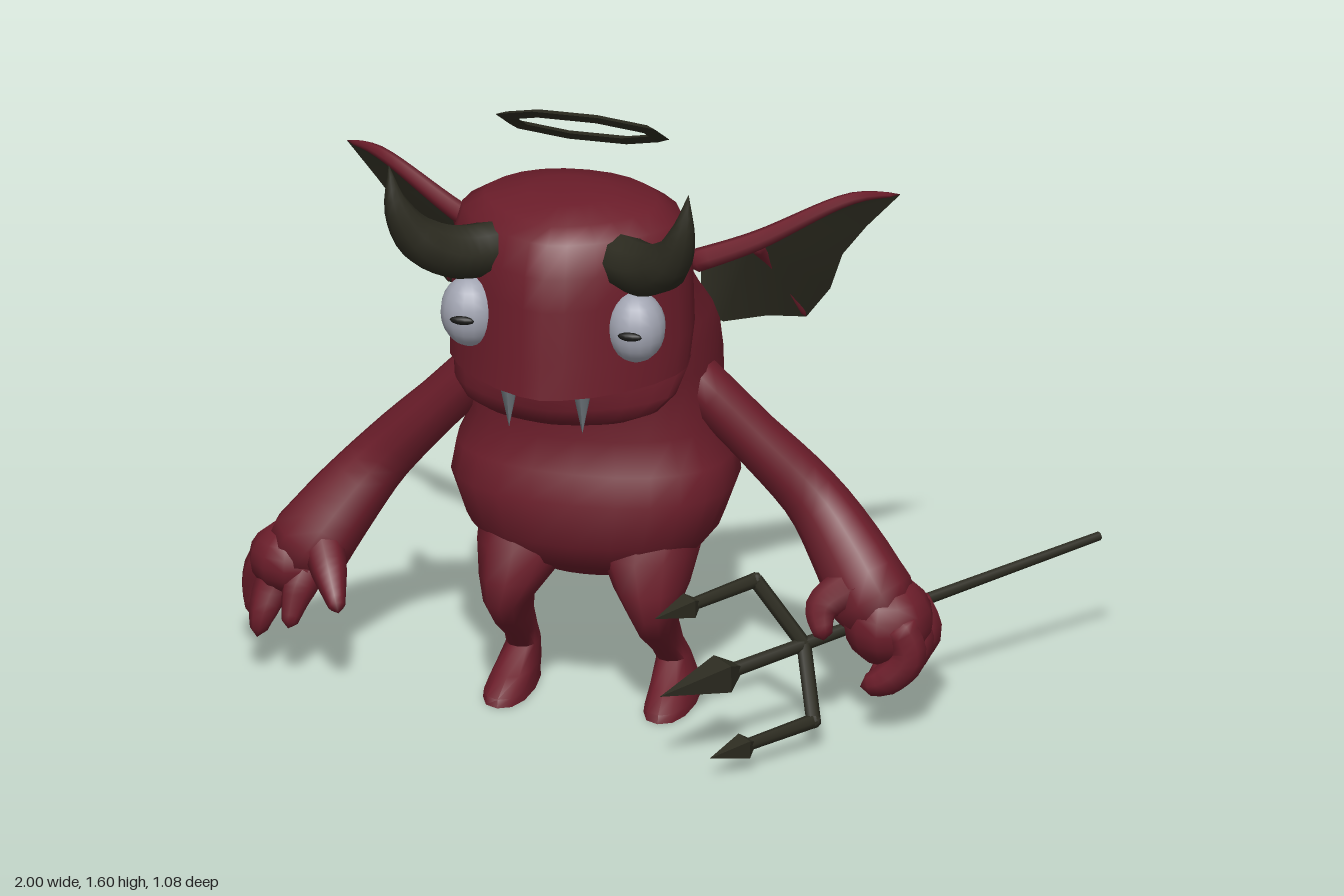
import * as THREE from 'three';
import { mergeVertices, toCreasedNormals } from 'three/addons/utils/BufferGeometryUtils.js';

const material = (name, color, side = THREE.FrontSide) => {
  const m = new THREE.MeshStandardMaterial({ color, side });
  m.name = name;
  return m;
};

const V = (p) => new THREE.Vector3(p[0], p[1], p[2]);

// Stack of rounded horizontal rings: [y, front z, back z, half width, centre x].
// The powers set how pointed (low) or boxy (high) the front and back halves are.
function loft(rings, sides, frontPower, backPower, crease = 0.9) {
  const pos = [], index = [], n = rings.length;
  for (const [y, zf, zb, hx, cx = 0] of rings) {
    for (let j = 0; j < sides; j++) {
      const a = (j / sides) * Math.PI * 2;
      const power = Math.sin(a) > 0 ? frontPower : backPower;
      const soft = (v) => Math.sign(v) * Math.abs(v) ** (2 / power);
      pos.push(cx + hx * soft(Math.cos(a)), y, (zf + zb) / 2 + ((zf - zb) / 2) * soft(Math.sin(a)));
    }
  }
  for (const i of [0, n - 1]) {
    const [y, zf, zb, , cx = 0] = rings[i];
    pos.push(cx, y, (zf + zb) / 2);
  }
  for (let j = 0; j < sides; j++) {
    const k = (j + 1) % sides, top = (n - 1) * sides;
    for (let i = 0; i < n - 1; i++) {
      const a = i * sides + j, d = i * sides + k;
      index.push(a, a + sides, d, a + sides, d + sides, d);
    }
    index.push(n * sides, j, k, n * sides + 1, top + k, top + j);
  }
  const g = new THREE.BufferGeometry();
  g.setAttribute('position', new THREE.Float32BufferAttribute(pos, 3));
  g.setIndex(index);
  return toCreasedNormals(g, crease);
}

// Smooth closed limb through points [x, y, z, radius]
function limb(points, sides = 10, segments = 18) {
  const curve = new THREE.CatmullRomCurve3(points.map(V));
  const tube = new THREE.TubeGeometry(curve, segments, 1, sides);
  const p = tube.attributes.position, v = new THREE.Vector3();
  for (let i = 0; i <= segments; i++) {
    const centre = curve.getPointAt(i / segments);
    const t = curve.getUtoTmapping(i / segments) * (points.length - 1);
    const k = Math.min(Math.floor(t), points.length - 2);
    const closed = i === 0 || i === segments;
    const r = closed ? 0 : THREE.MathUtils.lerp(points[k][3], points[k + 1][3], t - k);
    for (let j = 0; j <= sides; j++) {
      const id = i * (sides + 1) + j;
      v.fromBufferAttribute(p, id).sub(centre).multiplyScalar(r).add(centre);
      p.setXYZ(id, v.x, v.y, v.z);
    }
  }
  tube.deleteAttribute('uv');
  tube.deleteAttribute('normal');
  const g = mergeVertices(tube, 1e-5);
  g.computeVertexNormals();
  return g;
}

// Stand a geometry built along +y at point a, pointing to point b
function aim(geometry, a, b) {
  const dir = V(b).sub(V(a)).normalize();
  geometry.applyQuaternion(new THREE.Quaternion().setFromUnitVectors(new THREE.Vector3(0, 1, 0), dir));
  return geometry.translate(a[0], a[1], a[2]);
}

function rod(a, b, r, endRadius = r) {
  const length = V(a).distanceTo(V(b));
  return aim(new THREE.CylinderGeometry(endRadius, r, length, 6).translate(0, length / 2, 0), a, b);
}

function arrowhead(tip, back, length, r) {
  const profile = [[0, 0], [r, length * 0.8], [r * 0.3, length], [0, length]];
  const g = new THREE.LatheGeometry(profile.map(([x, y]) => new THREE.Vector2(x, length - y)).reverse(), 4);
  const end = V(tip).add(V(back).sub(V(tip)).setLength(length));
  return aim(toCreasedNormals(g, 0.4), end.toArray(), tip);
}

export function createModel() {
  const red = material('red skin', 0x6b1d2a);
  const dark = material('dark horn', 0x2c2b20, THREE.DoubleSide);
  const white = material('grey eye', 0xa2a5b2);
  const fangGrey = material('grey fang', 0x70787e);
  const black = material('black pupil', 0x1a1a18);

  const root = new THREE.Group();
  root.name = 'hornedImp';
  const imp = new THREE.Group();
  imp.name = 'imp';
  imp.position.x = -0.12;
  root.add(imp);
  const add = (name, geometry, mat, parent = imp) => {
    const m = new THREE.Mesh(geometry, mat);
    m.name = name;
    parent.add(m);
    return m;
  };

  // Torso with a humped upper back
  add('torso', loft([
    [0.335, 0.06, -0.13, 0.13], [0.39, 0.15, -0.195, 0.25], [0.46, 0.2, -0.253, 0.305],
    [0.57, 0.205, -0.262, 0.345], [0.64, 0.18, -0.267, 0.335], [0.72, 0.155, -0.27, 0.3],
    [0.88, 0.18, -0.277, 0.295], [0.95, 0.2, -0.268, 0.29], [1.0, 0.2, -0.232, 0.28],
    [1.05, 0.2, -0.17, 0.265], [1.1, 0.2, -0.118, 0.255], [1.16, 0.18, -0.07, 0.24]], 24, 2.3, 2.9), red);

  // Head tapering to the front, with the upper lip overhanging the jaw
  add('head', loft([
    [0.857, 0.39, 0.26, 0.17], [0.875, 0.415, 0.17, 0.235], [0.91, 0.435, 0.08, 0.272],
    [0.963, 0.44, -0.04, 0.288], [0.967, 0.51, -0.05, 0.29], [1.05, 0.5, -0.085, 0.295],
    [1.18, 0.482, -0.08, 0.29], [1.26, 0.468, -0.048, 0.286], [1.335, 0.43, -0.01, 0.265],
    [1.368, 0.39, 0.03, 0.21], [1.39, 0.31, 0.12, 0.11], [1.395, 0.25, 0.18, 0.03]], 24, 1.55, 2.1), red);

  for (const s of [1, -1]) {
    const side = s > 0 ? 'left' : 'right';
    const flip = (pts) => pts.map(([x, ...rest]) => [x * s, ...rest]);

    // Eye with a slit pupil
    add(side + 'Eye', new THREE.SphereGeometry(1, 16, 12).scale(0.071, 0.088, 0.071)
      .translate(0.204 * s, 1.125, 0.375), white);
    add(side + 'Pupil', new THREE.SphereGeometry(1, 10, 6).scale(0.03, 0.011, 0.01)
      .translate(0.206 * s, 1.127, 0.446), black);

    // Fang
    add(side + 'Fang', new THREE.ConeGeometry(0.023, 0.11, 6).rotateX(Math.PI)
      .translate(0.09 * s, 0.92, 0.447), fangGrey);

    // Horn
    add(side + 'Horn', limb(flip([
      [0.1, 1.285, 0.28, 0.06], [0.15, 1.28, 0.335, 0.066], [0.23, 1.285, 0.4, 0.066],
      [0.305, 1.335, 0.465, 0.057], [0.35, 1.43, 0.507, 0.032], [0.368, 1.54, 0.515, 0]]), 9), dark);

    // Bent leg running into a flat foot
    const leg = [
      [0, 0.14, -0.15, 0.058, 0.197], [0.02, 0.135, -0.152, 0.056, 0.197], [0.05, 0.065, -0.146, 0.05, 0.192],
      [0.1, -0.01, -0.122, 0.039, 0.184], [0.15, 0.05, -0.088, 0.035, 0.179], [0.22, 0.15, -0.03, 0.044, 0.178],
      [0.28, 0.197, 0, 0.057, 0.178], [0.34, 0.195, -0.09, 0.09, 0.165], [0.42, 0.18, -0.17, 0.12, 0.15],
      [0.5, 0.14, -0.18, 0.12, 0.15]];
    add(side + 'Leg', loft(leg.map((r) => [...r.slice(0, 4), r[4] * s]), 12, 2.3, 2.3, 1.1), red);

    // Arm
    add(side + 'Arm', limb(flip([
      [0.18, 0.9, -0.01, 0.05], [0.25, 0.838, -0.012, 0.064], [0.38, 0.702, -0.035, 0.064],
      [0.53, 0.535, -0.065, 0.075], [0.62, 0.42, -0.035, 0.092], [0.69, 0.32, 0, 0.105],
      [0.74, 0.24, 0, 0.08]]), 10), red);

    // Wing: thin membrane fanned from the wrist, with tapering bones
    const wing = new THREE.Group();
    wing.name = side + 'Wing';
    imp.add(wing);
    const wrist = [0.36, 1.145, -0.15], bend = [0.58, 1.245, -0.235], tip = [0.68, 1.235, -0.31];
    const finger = [0.44, 0.88, -0.345];
    const fan = flip([wrist, bend, tip, [0.6, 1.15, -0.295], [0.54, 1.07, -0.3], [0.505, 0.97, -0.32],
      finger, [0.37, 0.915, -0.25], [0.29, 0.94, -0.13], [0.24, 0.97, -0.11], [0.24, 1.1, -0.11]]);
    const skin = new THREE.BufferGeometry();
    skin.setAttribute('position', new THREE.Float32BufferAttribute(fan.flat(), 3));
    skin.setIndex(fan.slice(2).flatMap((_, i) => [0, i + 1, i + 2]));
    skin.computeVertexNormals();
    add('wingMembrane', skin, dark, wing);
    add('wingArmBone', limb(flip([[0.2, 1.09, -0.1, 0.03], [...wrist, 0.025], [...bend, 0.015],
      [...tip, 0.004]]), 6), red, wing);
    add('wingFingerBone', limb(flip([[...wrist, 0.02], [0.385, 1.04, -0.24, 0.012],
      [...finger, 0.006]]), 6), red, wing);
  }

  // Open right hand
  add('rightPalm', new THREE.SphereGeometry(1, 12, 10).scale(0.11, 0.09, 0.105).translate(-0.73, 0.28, 0), red);
  const fingers = [
    [[-0.7, 0.32, -0.04, 0.06], [-0.815, 0.225, -0.065, 0.052], [-0.84, 0.16, -0.07, 0.038], [-0.845, 0.085, -0.06, 0.016]],
    [[-0.7, 0.3, 0, 0.055], [-0.77, 0.22, 0.035, 0.048], [-0.79, 0.16, 0.07, 0.034], [-0.8, 0.1, 0.085, 0.015]],
    [[-0.67, 0.3, 0.03, 0.05], [-0.7, 0.23, 0.075, 0.042], [-0.715, 0.145, 0.12, 0.016]],
    [[-0.66, 0.35, 0.02, 0.055], [-0.615, 0.29, 0.11, 0.042], [-0.575, 0.225, 0.185, 0.016]]];
  fingers.forEach((f, i) => add(i < 3 ? 'rightFinger' : 'rightThumb', limb(f, 8, 12), red));

  // Left hand closed around the shaft
  add('leftFist', new THREE.SphereGeometry(1, 12, 10).scale(0.108, 0.11, 0.12).translate(0.727, 0.265, -0.005), red);
  for (const z of [-0.085, -0.01, 0.065]) {
    add('leftFinger', limb([[0.76, 0.3, z, 0.045], [0.795, 0.21, z, 0.044], [0.74, 0.145, z + 0.01, 0.04],
      [0.68, 0.125, z + 0.02, 0.022]], 8, 12), red);
  }
  add('leftThumb', limb([[0.66, 0.37, 0.03, 0.055], [0.585, 0.315, 0.08, 0.042], [0.6, 0.25, 0.12, 0.02]], 8, 12), red);

  // Eight-sided halo, tilted up at the front
  const halo = add('halo', toCreasedNormals(new THREE.TorusGeometry(0.187, 0.025, 4, 8)
    .rotateZ(Math.PI / 8).rotateX(Math.PI / 2).scale(1, 0.4, 1), 0.4), dark);
  halo.position.set(0, 1.503, 0.09);
  halo.rotation.x = -0.535;

  // Trident
  const trident = new THREE.Group();
  trident.name = 'trident';
  root.add(trident);
  const tip = [0.157, 0.2, 0.435], end = [0.99, 0.303, -0.54], hub = [0.43, 0.233, 0.115];
  add('shaft', rod([0.28, 0.215, 0.29], end, 0.018, 0.011), dark, trident);
  add('middlePoint', arrowhead(tip, end, 0.23, 0.05), dark, trident);
  const prongs = [
    [[0.31, 0.385, 0.11], [0.12, 0.358, 0.34]],
    [[0.475, 0.075, 0.2], [0.28, 0.055, 0.44]]];
  for (const [corner, point] of prongs) {
    add('crossbar', rod(hub, corner, 0.018), dark, trident);
    const neck = V(corner).lerp(V(point), 0.72).toArray();
    add('prong', rod(corner, neck, 0.018, 0.015), dark, trident);
    add('prongJoint', new THREE.SphereGeometry(0.019, 6, 5).translate(...corner), dark, trident);
    add('prongPoint', arrowhead(point, corner, 0.13, 0.033), dark, trident);
  }
  return root;
}
